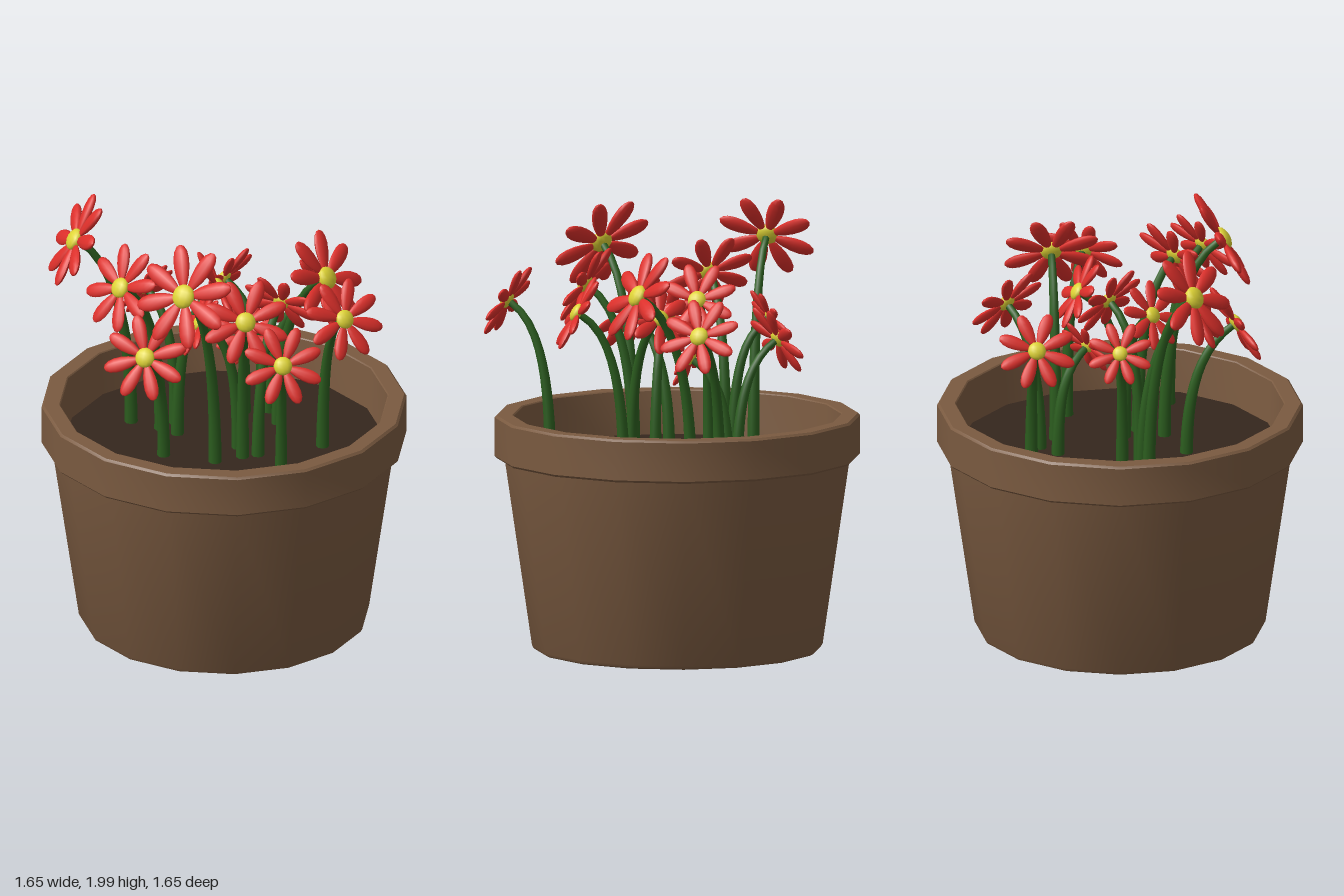
import * as THREE from 'three';
import { toCreasedNormals } from 'three/addons/utils/BufferGeometryUtils.js';

const mat = (color) => new THREE.MeshStandardMaterial({ color });
const clay = mat(0x7a5a40), earth = mat(0x35261d), green = mat(0x2c5e1f);
const red = mat(0xdc2f2a), yellow = mat(0xded335);

function mesh(name, geometry, material) {
  const m = new THREE.Mesh(geometry, material);
  m.name = name;
  return m;
}

// Unit petal along +x: narrow at the root, widest past the middle, blunt tip
function petalGeometry() {
  const g = new THREE.SphereGeometry(0.5, 10, 8);
  g.rotateZ(-Math.PI / 2);
  const p = g.attributes.position;
  for (let i = 0; i < p.count; i++) {
    const t = p.getX(i) + 0.5;
    const w = 0.65 + 0.5 * t;
    p.setXYZ(i, 0.12 + 0.88 * t, p.getY(i) * 0.36 * w, p.getZ(i) * 0.19 * w);
  }
  g.computeVertexNormals();
  return g;
}
const petal = petalGeometry();
const disc = new THREE.SphereGeometry(1, 12, 8);

// Stem rising from the soil, bending into the back of the head and tapering
function stemGeometry(base, head, facing) {
  const h = head.y - base.y;
  const curve = new THREE.CubicBezierCurve3(
    base,
    base.clone().setY(base.y + h * 0.7),
    head.clone().addScaledVector(facing, -0.13),
    head.clone().addScaledVector(facing, -0.01)
  );
  const segs = 12, sides = 8;
  const g = new THREE.TubeGeometry(curve, segs, 0.03, sides);
  const p = g.attributes.position, v = new THREE.Vector3();
  for (let i = 0; i < p.count; i++) {
    const u = Math.floor(i / (sides + 1)) / segs;
    const c = curve.getPointAt(u);
    v.fromBufferAttribute(p, i).sub(c).multiplyScalar(1 - 0.45 * u).add(c);
    p.setXYZ(i, v.x, v.y, v.z);
  }
  return g;
}

function flower([bx, bz, hx, hy, hz, radius]) {
  const group = new THREE.Group();
  group.name = 'flower';
  const base = new THREE.Vector3(bx, 0.85, bz);
  const head = new THREE.Vector3(hx, hy, hz);
  // The head looks outward along the lean, tilted up by 30 degrees
  const facing = new THREE.Vector3(hx - bx, 0, hz - bz).normalize();
  facing.multiplyScalar(Math.cos(Math.PI / 6)).setY(0.5);
  group.add(mesh('stem', stemGeometry(base, head, facing), green));

  const bloom = new THREE.Group();
  bloom.name = 'bloom';
  bloom.position.copy(head);
  bloom.lookAt(head.clone().add(facing));
  for (let i = 0; i < 8; i++) {
    const p = mesh('petal', petal, red);
    p.scale.setScalar(radius);
    p.rotation.z = ((i + 0.5) * Math.PI) / 4;
    bloom.add(p);
  }
  const eye = mesh('flowerCentre', disc, yellow);
  eye.scale.set(radius * 0.23, radius * 0.23, radius * 0.13);
  eye.position.z = radius * 0.03;
  bloom.add(eye);
  group.add(bloom);
  return group;
}

// Each flower: stem base x, z, head x, y, z, head radius
const FLOWERS = [
  [-0.44, 0.13, -0.6, 1.8, 0.33, 0.225],
  [0.12, 0.2, 0.16, 1.8, 0.46, 0.24],
  [-0.29, 0.1, -0.32, 1.65, 0.34, 0.205],
  [-0.1, 0.3, -0.02, 1.46, 0.52, 0.2],
  [0.53, 0.22, 0.67, 1.58, 0.37, 0.185],
  [0.18, 0.08, 0.34, 1.65, 0.245, 0.2],
  [0.1, 0.02, -0.02, 1.5, 0.145, 0.165],
  [-0.2, 0.09, -0.075, 1.59, -0.05, 0.185],
  [0.22, 0.02, 0.175, 1.54, -0.19, 0.18],
  [0.38, -0.24, 0.575, 1.59, -0.165, 0.19],
  [0.07, -0.29, 0.34, 1.67, -0.31, 0.225],
  [-0.04, -0.36, 0.13, 1.5, -0.51, 0.19],
  [-0.11, -0.4, -0.32, 1.44, -0.375, 0.18],
  [-0.28, 0.01, -0.46, 1.48, 0, 0.15],
  [-0.12, -0.28, 0, 1.34, -0.15, 0.145],
];

export function createModel() {
  const model = new THREE.Group();
  model.name = 'pottedFlowers';

  // Sixteen-sided pot: underside, tapered wall, overhanging rim, inner wall
  const profile = [
    [0, 0], [0.635, 0], [0.648, 0.006], [0.656, 0.02], [0.78, 0.875],
    [0.815, 0.875], [0.825, 0.885], [0.825, 1.06], [0.815, 1.07],
    [0.745, 1.07], [0.74, 1.065], [0.72, 0.85],
  ].map(([x, y]) => new THREE.Vector2(x, y));
  model.add(mesh('pot', toCreasedNormals(new THREE.LatheGeometry(profile, 16), 0.55), clay));

  // Soil surface
  const soil = new THREE.CircleGeometry(0.725, 16);
  soil.rotateX(-Math.PI / 2);
  soil.translate(0, 0.87, 0);
  model.add(mesh('soil', soil, earth));

  FLOWERS.forEach((f) => model.add(flower(f)));
  return model;
}
